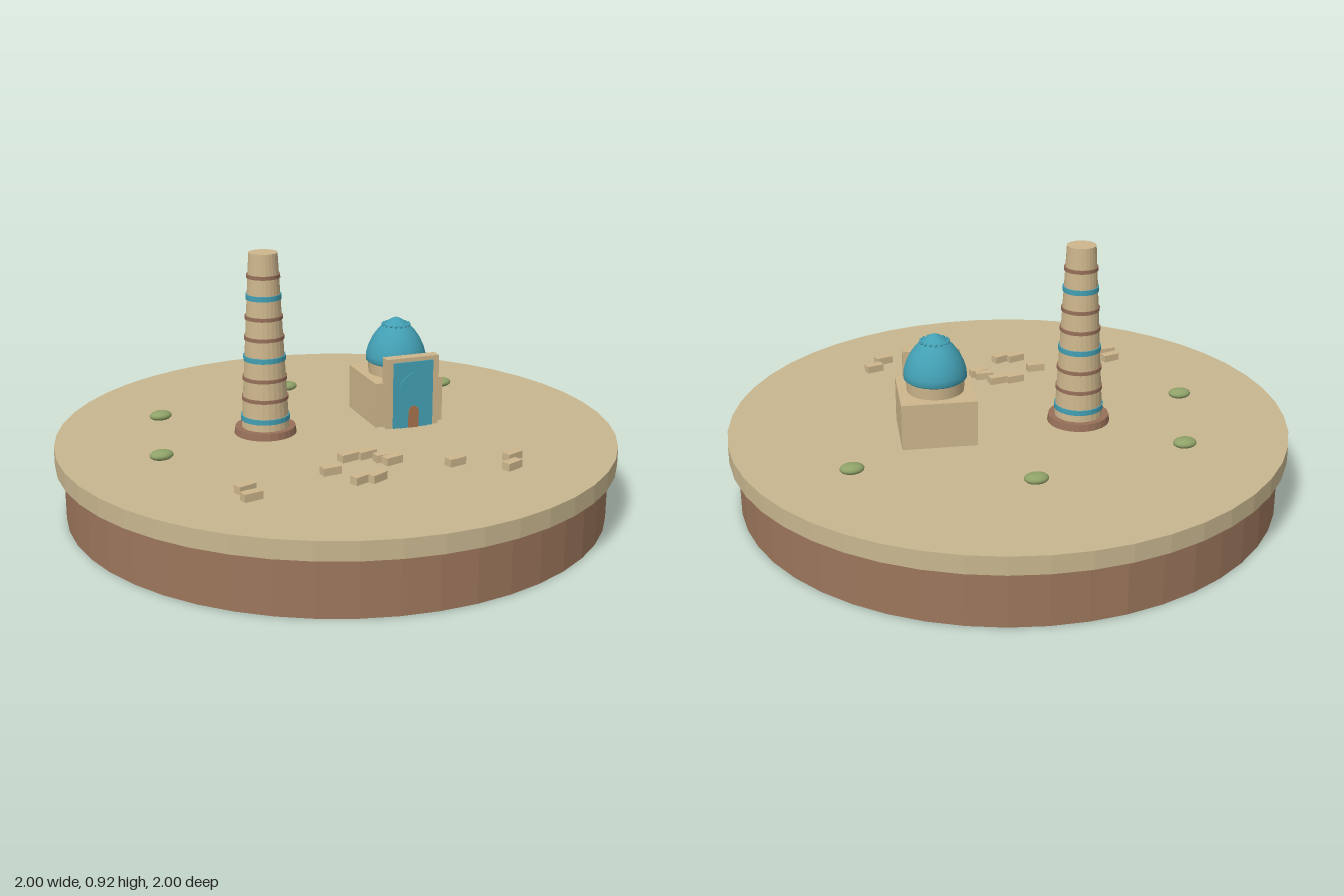
import * as THREE from 'three';

const mat = (name, color) => {
  const m = new THREE.MeshStandardMaterial({ color });
  m.name = name;
  return m;
};

// facet a geometry without touching the material
const flat = (geo) => {
  const g = geo.toNonIndexed();
  g.computeVertexNormals();
  return g;
};

export function createModel() {
  const sand = mat('sand', 0xc8b68f);
  const brick = mat('pale brick', 0xcdb68c);
  const earth = mat('earth brown', 0x9c765c);
  const band = mat('brown brick', 0x97705a);
  const blue = mat('turquoise tile', 0x43a0b4);
  const door = mat('wood', 0xa8724e);
  const green = mat('shrub green', 0x8fa268);

  const model = new THREE.Group();
  const add = (parent, name, geo, material, x = 0, y = 0, z = 0) => {
    const mesh = new THREE.Mesh(geo, material);
    mesh.name = name;
    mesh.position.set(x, y, z);
    parent.add(mesh);
    return mesh;
  };
  const group = (name, x, y, z) => {
    const g = new THREE.Group();
    g.name = name;
    g.position.set(x, y, z);
    model.add(g);
    return g;
  };
  const drum = (top, bottom, h, sides) => flat(new THREE.CylinderGeometry(top, bottom, h, sides));
  const GROUND = 0.265;

  // round base
  add(model, 'earthBase', drum(0.97, 0.97, 0.2, 48), earth, 0, 0.1, 0);
  add(model, 'sandDisc', drum(1, 1, 0.065, 48), sand, 0, 0.2325, 0);

  // tapering tower with tile and brick bands
  const tower = group('tower', -0.205, GROUND, -0.15);
  add(tower, 'towerPlinth', drum(0.108, 0.112, 0.025, 24), band, 0, 0.0125, 0);
  const H = 0.655, R0 = 0.087, R1 = 0.051;
  const radiusAt = (y) => R0 + (R1 - R0) * y / H;
  add(tower, 'towerShaft', drum(R1, R0, H, 24), brick, 0, H / 2, 0);
  for (let i = 0; i < 8; i++) {
    const y = 0.06 + i * 0.0733;
    const tiled = i % 3 === 0;
    const r = radiusAt(y) + 0.004;
    add(tower, tiled ? 'tileBand' : 'brickBand', drum(r, r, tiled ? 0.018 : 0.013, 24),
      tiled ? blue : band, 0, y, 0);
  }

  // domed tomb, turned to one side
  const tomb = group('tomb', 0.287, GROUND, 0.008);
  tomb.rotation.y = -0.367;
  add(tomb, 'tombBody', new THREE.BoxGeometry(0.262, 0.165, 0.262), brick, 0, 0.0825, 0);
  add(tomb, 'domeDrum', new THREE.CylinderGeometry(0.103, 0.1, 0.05, 32), brick, 0, 0.19, 0);
  const profile = [[0, 0.207], [0.103, 0.207], [0.11, 0.213], [0.11, 0.235], [0.102, 0.265],
    [0.088, 0.295], [0.069, 0.322], [0.047, 0.345], [0.024, 0.362], [0, 0.373]];
  add(tomb, 'dome', new THREE.LatheGeometry(profile.map((p) => new THREE.Vector2(...p)), 32), blue);
  // ring of studs near the top of the dome
  for (let i = 0; i < 16; i++) {
    const a = i / 16 * Math.PI * 2;
    add(tomb, 'domeStud', new THREE.SphereGeometry(0.006, 8, 6), blue,
      Math.cos(a) * 0.048, 0.345, Math.sin(a) * 0.048);
  }

  // portal with tiled panel, pointed arch and door
  add(tomb, 'portal', new THREE.BoxGeometry(0.203, 0.26, 0.04), brick, 0, 0.13, 0.142);
  add(tomb, 'portalPanel', new THREE.BoxGeometry(0.154, 0.245, 0.006), blue, 0, 0.1225, 0.164);
  const pointedArch = (w, spring, top, depth) => {
    const s = new THREE.Shape();
    s.moveTo(-w, 0);
    s.lineTo(w, 0);
    s.lineTo(w, spring);
    s.quadraticCurveTo(w, (spring + top) / 2 + 0.01, 0, top);
    s.quadraticCurveTo(-w, (spring + top) / 2 + 0.01, -w, spring);
    return new THREE.ExtrudeGeometry(s, { depth, bevelEnabled: false, curveSegments: 8 });
  };
  add(tomb, 'portalArch', pointedArch(0.053, 0.145, 0.207, 0.005), blue, 0, 0, 0.166);
  add(tomb, 'door', pointedArch(0.02, 0.055, 0.082, 0.004), door, 0, 0, 0.17);

  // scattered brick blocks: x, z, turn
  const blocks = [[-0.62, 0.265, 0], [-0.645, 0.33, -0.15], [-0.31, 0.325, -0.25],
    [-0.183, 0.268, -0.1], [-0.118, 0.288, -0.12], [-0.095, 0.35, -0.3], [-0.09, 0.387, -0.08],
    [-0.29, 0.449, 0.02], [-0.237, 0.47, 0.1], [0.06, 0.537, -0.12], [0.242, 0.629, 0],
    [0.175, 0.687, 0.03]];
  const blockGeo = new THREE.BoxGeometry(0.066, 0.028, 0.033);
  for (const [x, z, turn] of blocks) {
    add(model, 'ruinBlock', blockGeo, brick, x, GROUND + 0.013, z).rotation.y = turn;
  }

  // low shrubs
  const shrubGeo = new THREE.SphereGeometry(1, 16, 10);
  for (const [x, z] of [[-0.645, -0.165], [-0.405, -0.52], [0.177, -0.495], [0.672, -0.13]]) {
    const shrub = add(model, 'shrub', shrubGeo, green, x, 0.277, z);
    shrub.scale.set(0.042, 0.018, 0.033);
    shrub.rotation.y = -0.25;
  }
  return model;
}
